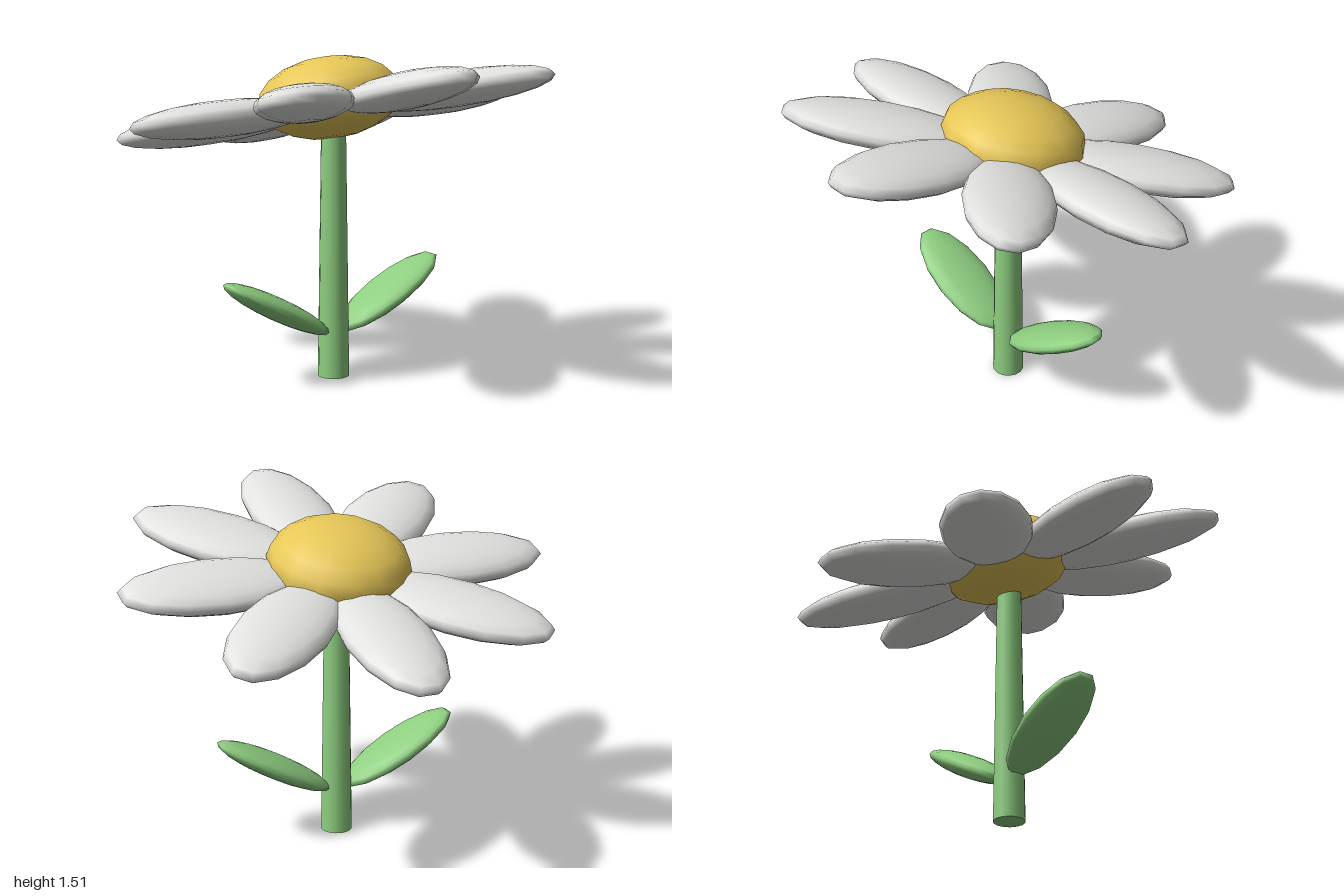
import * as THREE from 'three';

const material = (name, color) => {
  const m = new THREE.MeshStandardMaterial({ color });
  m.name = name;
  return m;
};

// Squashed sphere, long along z
function ellipsoid(name, mat, halfWidth, halfThickness, halfLength) {
  const geometry = new THREE.SphereGeometry(1, 14, 10);
  geometry.scale(halfWidth, halfThickness, halfLength);
  const mesh = new THREE.Mesh(geometry, mat);
  mesh.name = name;
  return mesh;
}

export function createModel() {
  const white = material('petal white', 0xe2e2e0);
  const yellow = material('centre yellow', 0xe8c858);
  const green = material('stem green', 0x8ece80);

  const flower = new THREE.Group();
  flower.name = 'flower';

  // Tapered stem
  const stem = new THREE.Mesh(new THREE.CylinderGeometry(0.055, 0.072, 1.22, 14), green);
  stem.name = 'stem';
  stem.position.set(0, 0.61, 0.013);
  flower.add(stem);

  // Pair of leaves rising from the stem
  for (const side of [1, -1]) {
    const leaf = ellipsoid('leafBlade', green, 0.14, 0.053, 0.305);
    leaf.rotation.x = -0.5;
    leaf.position.set(0, 0.355, 0.305);
    const holder = new THREE.Group();
    holder.name = side > 0 ? 'leftLeaf' : 'rightLeaf';
    holder.rotation.y = side * Math.PI / 2;
    holder.position.z = 0.013;
    holder.add(leaf);
    flower.add(holder);
  }

  // Tilted head: ring of eight petals around a domed centre
  const head = new THREE.Group();
  head.name = 'head';
  head.position.y = 1.236;
  head.rotation.x = -0.25;
  flower.add(head);

  for (let i = 0; i < 8; i++) {
    const petal = ellipsoid('petalBlade', white, 0.2, 0.08, 0.44);
    petal.position.z = 0.571;
    const holder = new THREE.Group();
    holder.name = 'petal' + (i + 1);
    holder.rotation.y = i * Math.PI / 4;
    holder.add(petal);
    head.add(holder);
  }

  const centre = ellipsoid('centre', yellow, 0.325, 0.185, 0.325);
  centre.position.set(0, 0.047, -0.005);
  head.add(centre);

  return flower;
}
